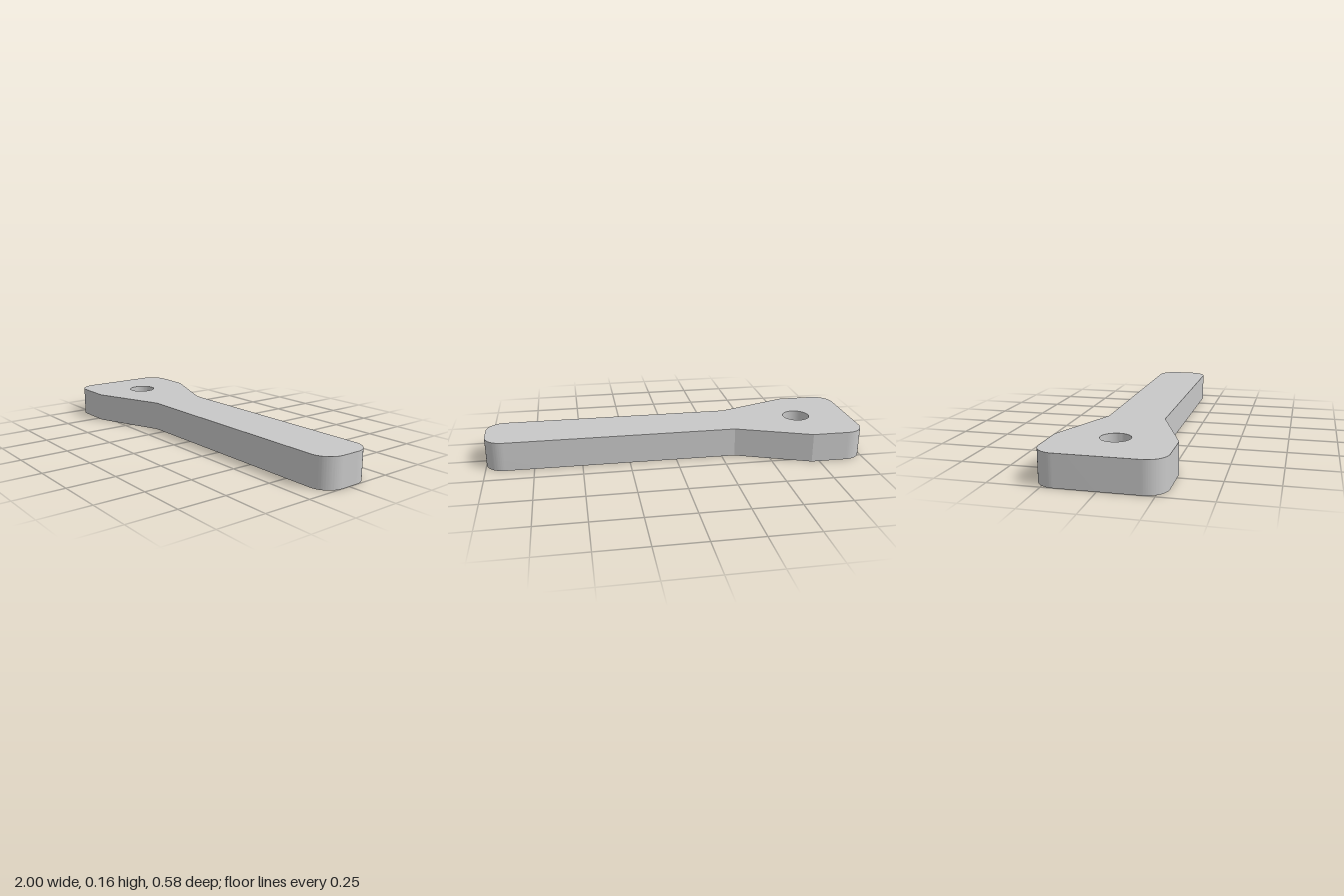
import * as THREE from 'three';
import { toCreasedNormals } from 'three/addons/utils/BufferGeometryUtils.js';

const HEIGHT = 0.155;
const HEAD = 0.292;   // half width of the wide end
const ARM = 0.146;    // half width of the narrow arm
const CORNER = 0.1;   // corner radius
const HOLE_X = -0.708;
const HOLE_R = 0.073;
const NECK_X = -0.32; // where the taper meets the arm

export function createModel() {
  const group = new THREE.Group();
  group.name = 'leverArm';
  const grey = new THREE.MeshStandardMaterial({ color: 0xc8c8c8 });
  grey.name = 'light grey';

  // Outline, counter-clockwise from the head's shoulder
  const outline = new THREE.Shape();
  outline.moveTo(HOLE_X, -HEAD);
  outline.lineTo(NECK_X, -ARM);
  outline.absarc(1 - CORNER, -ARM + CORNER, CORNER, -Math.PI / 2, 0, false);
  outline.absarc(1 - CORNER, ARM - CORNER, CORNER, 0, Math.PI / 2, false);
  outline.lineTo(NECK_X, ARM);
  outline.lineTo(HOLE_X, HEAD);
  outline.absarc(-1 + CORNER, HEAD - CORNER, CORNER, Math.PI / 2, Math.PI, false);
  outline.absarc(-1 + CORNER, -HEAD + CORNER, CORNER, Math.PI, Math.PI * 1.5, false);
  outline.closePath();

  // Round pivot hole through the head
  const hole = new THREE.Path();
  hole.absarc(HOLE_X, 0, HOLE_R, 0, Math.PI * 2, true);
  outline.holes.push(hole);

  // Flat plate lying on the ground, with smooth corners and sharp edges
  const plate = new THREE.ExtrudeGeometry(outline, {
    depth: HEIGHT, bevelEnabled: false, curveSegments: 24,
  });
  plate.rotateX(-Math.PI / 2);
  const mesh = new THREE.Mesh(toCreasedNormals(plate, 0.3), grey);
  mesh.name = 'leverPlate';
  group.add(mesh);
  return group;
}
